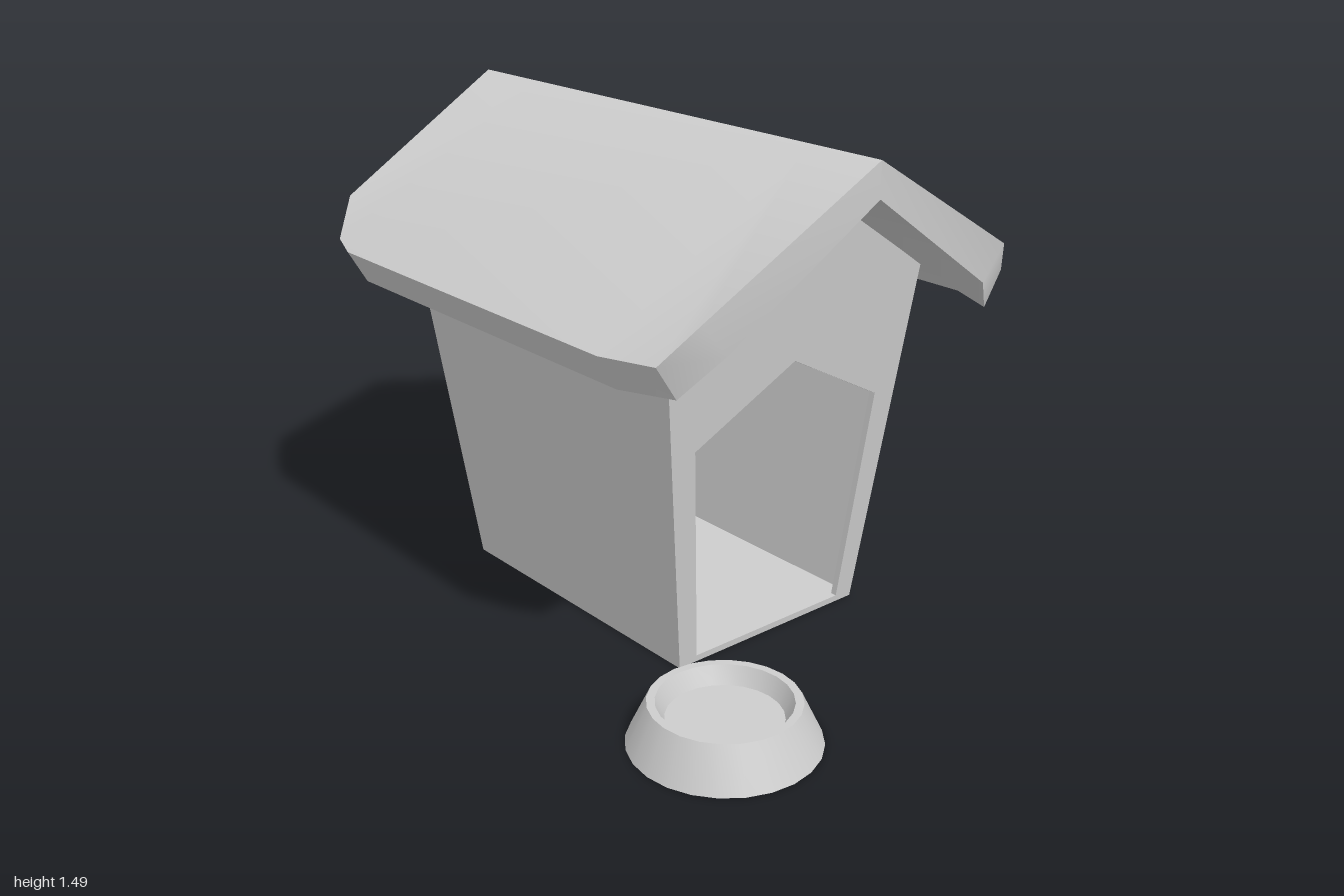
import * as THREE from 'three';
import { toCreasedNormals } from 'three/addons/utils/BufferGeometryUtils.js';

const grey = new THREE.MeshStandardMaterial({ color: 0xcccccc });
grey.name = 'plain grey';

const T = 0.02; // wall thickness
const EAVE = 1.072, APEX = 1.396;
const X0 = 0.5, XS = 0.098; // half length at the ground and outward lean
const Z0 = 0.345, ZS = 0.125; // half depth at the ground and outward lean

function add(parent, name, geometry) {
  const mesh = new THREE.Mesh(geometry, grey);
  mesh.name = name;
  parent.add(mesh);
  return mesh;
}

const toVectors = (list) => list.map(([x, y]) => new THREE.Vector2(x, y));

// Symmetric outline: half points (bottom to top) mirrored, with an optional peak
function outline(half, peak) {
  const left = half.map(([x, y]) => [-x, y]).reverse();
  return toVectors([...half, ...(peak ? [[0, peak]] : []), ...left]);
}

// Thin wall leaning outward as it rises, turned to face its side
function addWall(parent, name, shape, base, lean, angle) {
  const geo = new THREE.ExtrudeGeometry(shape, { depth: T, bevelEnabled: false });
  const p = geo.attributes.position;
  for (let i = 0; i < p.count; i++) p.setZ(i, p.getZ(i) - T + base + lean * p.getY(i));
  geo.computeVertexNormals();
  add(parent, name, geo).rotation.y = angle;
}

// Geometry from points and triangles; shared points shade smoothly
function surface(points, index) {
  const geo = new THREE.BufferGeometry();
  geo.setAttribute('position', new THREE.Float32BufferAttribute(points.flat(), 3));
  geo.setIndex(index);
  geo.computeVertexNormals();
  return geo;
}

function buildRoof(parent) {
  const roof = new THREE.Group();
  roof.name = 'roof';
  parent.add(roof);

  // Half outline from the ridge end to the eave: half length, height, depth
  const topHalf = [[0.878, 1.49, 0], [0.837, 1.164, 0.56], [0.765, 1.055, 0.645], [0.61, 1.057, 0.705]];
  const lowHalf = [[0.878, 1.388, 0], [0.837, 1.065, 0.478], [0.765, 0.955, 0.58], [0.61, 0.955, 0.645]];

  // Points 0-7 run round the front slope, 8-13 round the back, 14-15 lie on the ridge
  const layer = (half) => {
    const front = [...half, ...half.map(([x, y, z]) => [-x, y, z]).reverse()];
    const back = front.slice(1, 7).map(([x, y, z]) => [x, y, -z]);
    const ridge = [[half[3][0], half[0][1], 0], [-half[3][0], half[0][1], 0]];
    return [...front, ...back, ...ridge];
  };
  const sheet = [];
  for (const [ring, flip] of [[[0, 1, 2, 3, 4, 5, 6, 7], true], [[0, 8, 9, 10, 11, 12, 13, 7], false]]) {
    const tris = [];
    for (let i = 0; i < 3; i++) tris.push([14, ring[i], ring[i + 1]], [15, ring[i + 4], ring[i + 5]]);
    tris.push([14, ring[3], ring[4]], [14, ring[4], 15]);
    for (const [a, b, c] of tris) sheet.push(...(flip ? [a, c, b] : [a, b, c]));
  }
  const top = layer(topHalf), low = layer(lowHalf);
  add(roof, 'roofTop', surface(top, sheet));
  add(roof, 'roofUnderside', surface(low, sheet.slice().reverse()));

  // Rim strips, creased at the eave corners
  const strips = [[0, 1, 2], [2, 3, 4, 5], [5, 6, 7], [9, 8, 0], [12, 11, 10, 9], [7, 13, 12]];
  for (const strip of strips) {
    const points = [], index = [];
    strip.forEach((k, i) => {
      points.push(top[k], low[k]);
      const a = i * 2;
      if (i) index.push(a - 2, a, a - 1, a, a + 1, a - 1);
    });
    add(roof, 'roofRim', surface(points, index));
  }
}

export function createModel() {
  const model = new THREE.Group();
  model.name = 'kennelAndBowl';

  const house = new THREE.Group();
  house.name = 'house';
  house.position.set(-0.122, 0, -0.024);
  model.add(house);

  // Gable walls, with the doorway on the left
  const gable = outline([[Z0, 0], [Z0 + ZS * EAVE, EAVE]], APEX);
  const doorWall = new THREE.Shape(gable);
  doorWall.holes.push(new THREE.Path(outline([[0.283, 0.02], [0.348, 0.69]], 0.875)));
  addWall(house, 'doorWall', doorWall, X0, XS, Math.PI / 2);
  addWall(house, 'endWall', new THREE.Shape(gable), X0, XS, -Math.PI / 2);

  // Long walls, tucked just inside the gable faces
  const hx = X0 - 0.004;
  const longWall = new THREE.Shape(outline([[hx, 0], [hx + XS * EAVE, EAVE]]));
  addWall(house, 'frontWall', longWall, Z0, ZS, 0);
  addWall(house, 'backWall', longWall, Z0, ZS, Math.PI);

  // Floor
  const floor = new THREE.BoxGeometry(2 * X0 - 0.02, 0.02, 2 * Z0 - 0.02);
  add(house, 'floor', floor).position.y = 0.01;

  buildRoof(house);

  // Bowl beside the doorway
  const profile = toVectors([[0, 0], [0.265, 0], [0.208, 0.12], [0.185, 0.12], [0.16, 0.07], [0, 0.07]]);
  const bowl = add(model, 'bowl', toCreasedNormals(new THREE.LatheGeometry(profile, 24), 0.7));
  bowl.position.set(0.735, 0, 0.468);

  return model;
}
